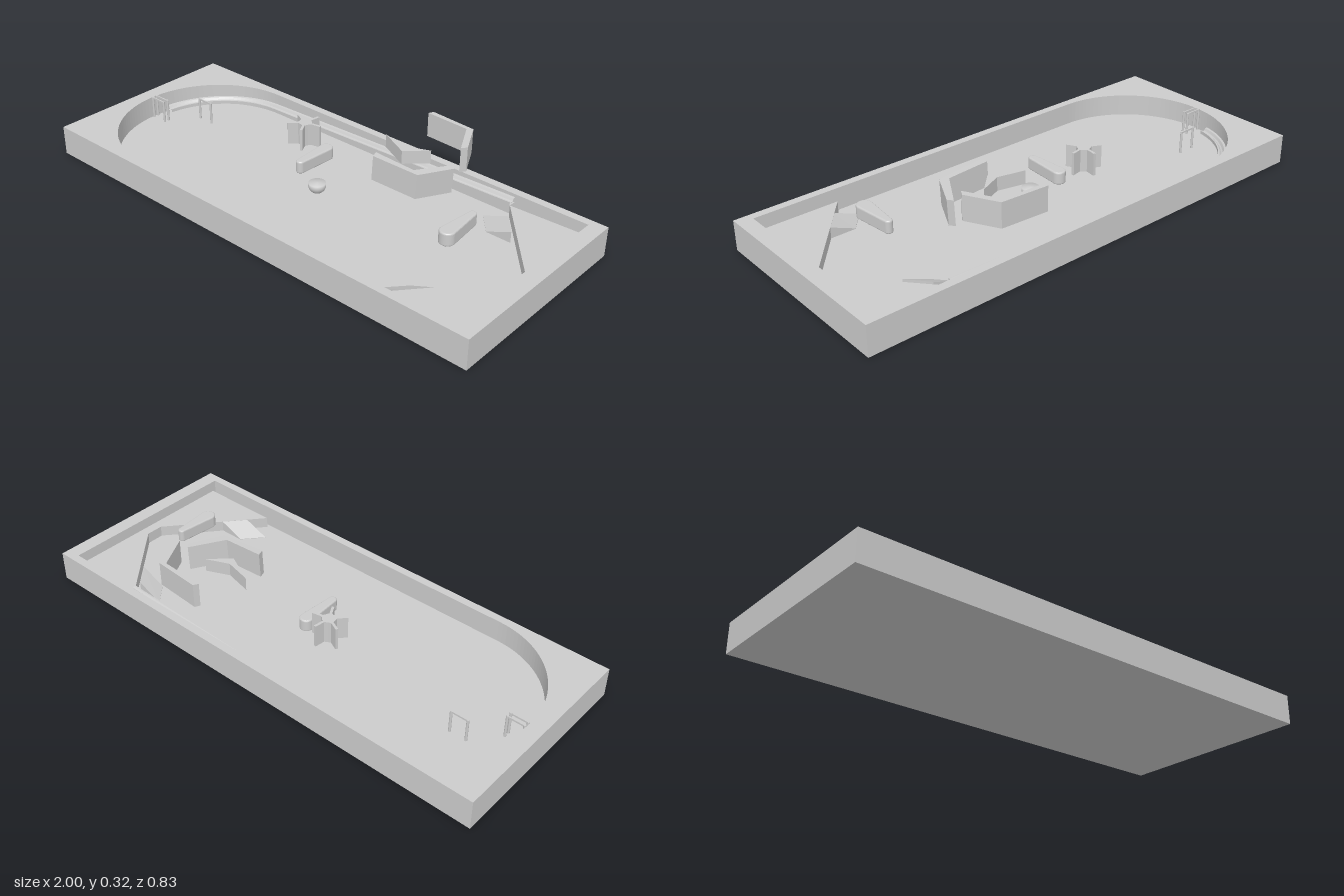
import * as THREE from 'three';

const FLOOR = 0.03, RIM = 0.12, PLATE = 0.075;

export function createModel() {
  const root = new THREE.Group();
  const mat = new THREE.MeshStandardMaterial({ color: 0xcccccc, side: THREE.DoubleSide });
  const flat = new THREE.MeshStandardMaterial({ color: 0xcccccc, side: THREE.DoubleSide, flatShading: true });

  const add = (name, geo, m = mat, parent = root) => {
    const mesh = new THREE.Mesh(geo, m);
    mesh.name = name;
    parent.add(mesh);
    return mesh;
  };
  const toShape = (pts) => new THREE.Shape(pts.map(([x, z]) => new THREE.Vector2(x, -z)));
  // Raises a plan outline (x, z) from y0 to y1, optionally with softened edges
  const raise = (shape, y0, y1, bevel = 0) => {
    const geo = new THREE.ExtrudeGeometry(shape, {
      depth: y1 - y0 - 2 * bevel, bevelEnabled: bevel > 0, bevelSize: bevel, bevelThickness: bevel,
      bevelOffset: -bevel, bevelSegments: 3, curveSegments: 32,
    });
    return geo.rotateX(-Math.PI / 2).translate(0, y0 + bevel, 0);
  };

  // Table: solid base and a rim around a pit with one round end
  add('tableBase', new THREE.BoxGeometry(2, FLOOR, 0.826).translate(0, FLOOR / 2, 0));
  const rim = toShape([[-1, 0.413], [1, 0.413], [1, -0.413], [-1, -0.413]]);
  const pit = new THREE.Path();
  pit.moveTo(0.94, -0.38);
  pit.lineTo(0.94, 0.38);
  pit.lineTo(-0.56, 0.38);
  pit.absarc(-0.56, 0, 0.38, Math.PI / 2, Math.PI * 1.5, false);
  pit.closePath();
  rim.holes.push(pit);
  add('tableRim', raise(rim, FLOOR, RIM));

  // Raised end platform with a V-shaped edge
  add('endPlatform', raise(toShape([
    [0.63, -0.365], [0.94, -0.38], [0.94, 0.365], [0.61, 0.365], [0.9, 0.02], [0.9, -0.05],
  ]), FLOOR, PLATE));

  // Wedge ramps leading up to the platform, mirrored in z
  for (const [name, s, dx] of [['frontRamp', 1, 0], ['backRamp', -1, 0]]) {
    const geo = raise(toShape([
      [0.56, 0.3 * s], [0.63, 0.22 * s], [0.733, 0.22 * s], [0.667, 0.3 * s],
    ]), FLOOR, PLATE);
    const p = geo.attributes.position;
    for (let i = 0; i < p.count; i++) {
      const low = p.getX(i) < 0.64;
      if (p.getY(i) > FLOOR + 0.01 && low) p.setY(i, FLOOR + 0.002);
    }
    geo.computeVertexNormals();
    add(name, geo);
  }

  // Rising side lane: a trough swept around the round end and along the back wall
  const lane = [];
  for (let i = 0; i <= 28; i++) {
    const a = THREE.MathUtils.degToRad(192 + (78 * i) / 28);
    lane.push({ x: -0.56, z: 0, dx: Math.cos(a), dz: Math.sin(a) });
  }
  for (let i = 1; i <= 12; i++) lane.push({ x: -0.56 + 0.1 * i, z: 0, dx: 0, dz: -1 });
  const section = [[0.378, 0.014], [0.37, 0.012], [0.364, 0.003], [0.358, 0], [0.352, 0.006],
    [0.346, 0.006], [0.346, -0.008], [0.378, -0.008]];
  const verts = [], index = [], n = section.length;
  lane.forEach((f, i) => {
    const y = 0.045 + 0.05 * (i < 28 ? 0.35 * i / 28 : 0.35 + 0.65 * (i - 28) / 12);
    section.forEach(([r, h], j) => {
      verts.push(f.x + f.dx * r, y + h, f.z + f.dz * r);
      if (i === 0) return;
      const k = (j + 1) % n, a = (i - 1) * n, b = i * n;
      index.push(a + j, a + k, b + j, a + k, b + k, b + j);
    });
  });
  const laneGeo = new THREE.BufferGeometry();
  laneGeo.setAttribute('position', new THREE.Float32BufferAttribute(verts, 3));
  laneGeo.setIndex(index);
  add('sideLane', laneGeo, flat);

  // Bent deflector walls
  const front = add('frontDeflector', raise(toShape([
    [0.24, -0.058], [0.25, -0.03], [0.44, -0.043], [0.505, -0.17], [0.49, -0.19], [0.41, -0.06],
  ]).clone(), -0.05, 0.05).translate(-0.37, 0, 0));
  front.position.set(0.37, 0.223, 0);
  front.rotation.z = -0.05;
  add('backDeflector', raise(toShape([
    [0.25, -0.388], [0.44, -0.375], [0.505, -0.25], [0.49, -0.228], [0.42, -0.36], [0.24, -0.368],
  ]), 0.22, 0.318));

  // Arrow-shaped guide between the deflectors
  add('arrowGuide', raise(toShape([
    [0.18, -0.193], [0.288, -0.168], [0.378, -0.207], [0.302, -0.133],
  ]), 0.222, 0.275));

  // Spinner: round hub with five thin vanes
  const spinner = new THREE.Group();
  spinner.name = 'spinner';
  spinner.position.set(-0.165, 0.185, -0.125);
  const star = [];
  for (let i = 0; i < 5; i++) {
    const a = Math.PI * (0.4 * i - 0.46), c = Math.cos(a), s = Math.sin(a);
    for (const [r, t] of [[0.028, -0.005], [0.068, -0.005], [0.068, 0.005], [0.028, 0.005]])
      star.push([r * c - t * s, r * s + t * c]);
    const b = a + Math.PI * 0.2;
    star.push([0.025 * Math.cos(b), 0.025 * Math.sin(b)]);
  }
  add('spinnerVanes', raise(toShape(star), -0.045, 0.045), mat, spinner);
  root.add(spinner);

  // Flippers: tapered outline, round at both ends
  const flipper = (name, x, z0, z1, r0, r1, y0, y1) => {
    const s = new THREE.Shape();
    s.absarc(x, -(z0 + r0), r0, 0, Math.PI, false);
    s.absarc(x, -(z1 - r1), r1, Math.PI, Math.PI * 2, false);
    add(name, raise(s, y0, y1, 0.006));
  };
  flipper('middleFlipper', -0.048, -0.142, 0.045, 0.026, 0.017, 0.12, 0.17);
  flipper('endFlipper', 0.67, -0.075, 0.112, 0.015, 0.03, 0.155, 0.206);

  // Round bumper with a bowl-shaped underside
  const bowl = [[0, 0.035], [0.02, 0.037], [0.029, 0.046], [0.034, 0.058], [0.034, 0.074], [0, 0.076]]
    .map(([r, y]) => new THREE.Vector2(r, y));
  add('bumper', new THREE.LatheGeometry(bowl, 32).translate(0, 0, -0.012));

  // Wire gates: two posts and a crossbar
  const gate = (name, x, z) => {
    const g = new THREE.Group();
    g.name = name;
    for (const s of [-1, 1])
      add('gatePost', new THREE.CylinderGeometry(0.005, 0.005, 0.094, 12)
        .translate(x + s * 0.034, FLOOR + 0.047, z), mat, g);
    add('gateBar', new THREE.BoxGeometry(0.068, 0.007, 0.005).translate(x, 0.12, z), mat, g);
    root.add(g);
  };
  gate('innerGate', -0.745, -0.128);
  gate('entryGateBack', -0.9, -0.024);
  gate('entryGateFront', -0.9, -0.003);

  root.traverse((o) => { if (o.isMesh && !o.geometry.attributes.normal) o.geometry.computeVertexNormals(); });
  return root;
}
